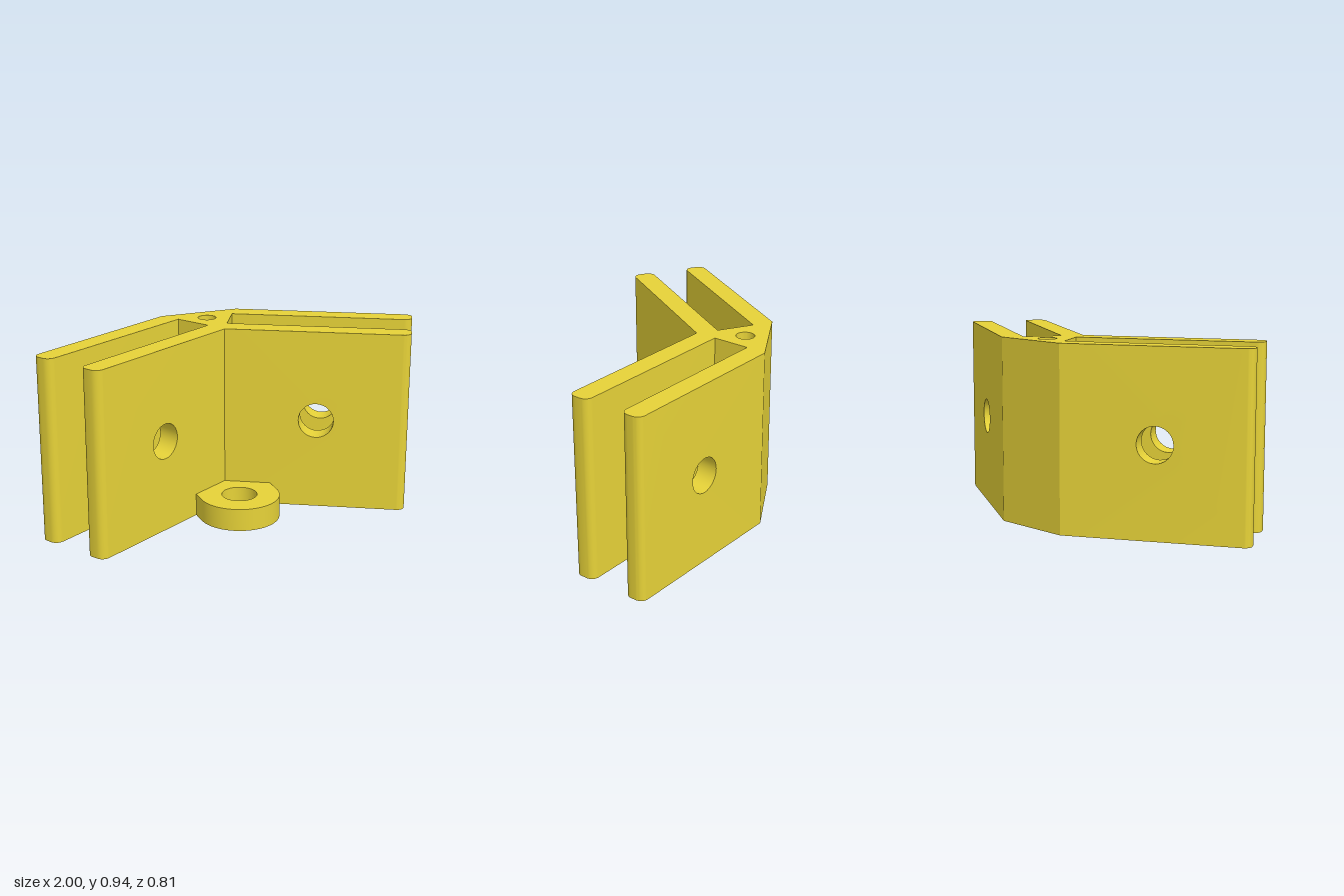
import * as THREE from 'three';
import { mergeGeometries, toCreasedNormals } from 'three/addons/utils/BufferGeometryUtils.js';

// Built in plan (x, y = towards the back), height along z, then stood upright.
const H = 0.935, ANGLE = Math.PI / 6, C = Math.cos(ANGLE), S = Math.sin(ANGLE);
const FRONT = [0.041, 0.152], BACK = [0.347, 0.455]; // plate faces, measured across the arm
const GAP = -0.027, END = 0.909, ROUND = 0.04;       // measured along the arm
const HOLE_AT = 0.445, HOLE_R = 0.09, PIN_Y = 0.29, PIN_R = 0.047;

// Point at a distance along and across the right-hand arm
const armPoint = (along, across) =>
  new THREE.Vector2(along * C + across * S, -along * S + across * C);

// Rounded end of a plate
function plateTip([a, b]) {
  const pts = [], n = 8;
  for (const [across, start] of [[a + ROUND, -Math.PI / 2], [b - ROUND, 0]])
    for (let i = 0; i <= n; i++) {
      const t = start + (i / n) * Math.PI / 2;
      pts.push(armPoint(END - ROUND + ROUND * Math.cos(t), across + ROUND * Math.sin(t)));
    }
  return pts;
}

function circle(x, y, r) {
  return new THREE.Path().absarc(x, y, r, 0, Math.PI * 2, false);
}

// Upright wall between two plan points; the long plate faces get a screw hole
function wall(a, b) {
  const len = a.distanceTo(b);
  const shape = new THREE.Shape([[0, 0], [len, 0], [len, H], [0, H]].map(p => new THREE.Vector2(...p)));
  if (len > 0.5) {
    const side = Math.sign(a.x + b.x);
    const along = a.x * side * C - a.y * S;
    shape.holes.push(circle(Math.abs(along - HOLE_AT), H / 2, HOLE_R));
  }
  const t = new THREE.Vector3(b.x - a.x, b.y - a.y, 0).normalize();
  const up = new THREE.Vector3(0, 0, 1);
  const m = new THREE.Matrix4().makeBasis(t, up, t.clone().cross(up)).setPosition(a.x, a.y, 0);
  return new THREE.ShapeGeometry(shape, 16).applyMatrix4(m);
}

// Inward-facing tube lining a hole
function bore(r, length) {
  return new THREE.CylinderGeometry(r, r, length, 32, 1, true).scale(-1, 1, 1);
}

function bodyGeometry() {
  // Half outline from the front apex round to the back corner, then mirrored
  const apex = new THREE.Vector2(0, FRONT[0] / C);
  const backY = 0.405;
  const half = [
    ...plateTip(FRONT),
    armPoint(GAP, FRONT[1]), armPoint(GAP, BACK[0]),
    ...plateTip(BACK),
    new THREE.Vector2((BACK[1] - backY * C) / S, backY),
  ];
  const mirrored = half.map(p => new THREE.Vector2(-p.x, p.y)).reverse();
  const outline = [apex, ...half, ...mirrored];

  // Top and bottom
  const plan = new THREE.Shape(outline);
  plan.holes.push(circle(0, PIN_Y, PIN_R));
  const parts = [
    new THREE.ShapeGeometry(plan, 16).translate(0, 0, H),
    new THREE.ShapeGeometry(plan, 16).rotateY(Math.PI),
  ];

  // Side walls
  outline.forEach((p, i) => {
    const q = outline[(i + 1) % outline.length];
    if (p.distanceTo(q) > 1e-5) parts.push(wall(p, q));
  });

  // Screw holes through each plate
  for (const side of [1, -1])
    for (const [a, b] of [FRONT, BACK]) {
      const c = armPoint(HOLE_AT, (a + b) / 2);
      parts.push(bore(HOLE_R, b - a).rotateZ(-side * ANGLE).translate(side * c.x, c.y, H / 2));
    }

  // Upright pin hole through the core
  parts.push(bore(PIN_R, H).rotateX(Math.PI / 2).translate(0, PIN_Y, H / 2));
  return mergeGeometries(parts.map(g => g.toNonIndexed()));
}

function lugGeometry() {
  const r = 0.205, y = -0.152, meet = (FRONT[0] - r * S) / C;
  const shape = new THREE.Shape();
  shape.moveTo(0, FRONT[0] / C);
  shape.lineTo(-r, meet);
  shape.lineTo(-r, y);
  shape.absarc(0, y, r, Math.PI, Math.PI * 2, false);
  shape.lineTo(r, meet);
  shape.closePath();
  shape.holes.push(circle(0, y, 0.09));
  return new THREE.ExtrudeGeometry(shape, { depth: 0.115, bevelEnabled: false, curveSegments: 20 });
}

export function createModel() {
  const group = new THREE.Group();
  group.name = 'angleBracket';
  const material = new THREE.MeshStandardMaterial({ color: 0xe6d238 });
  const add = (name, geometry) => {
    const mesh = new THREE.Mesh(toCreasedNormals(geometry.rotateX(-Math.PI / 2), 0.4), material);
    mesh.name = name;
    group.add(mesh);
  };
  add('bracketBody', bodyGeometry());
  add('mountingLug', lugGeometry());
  return group;
}
